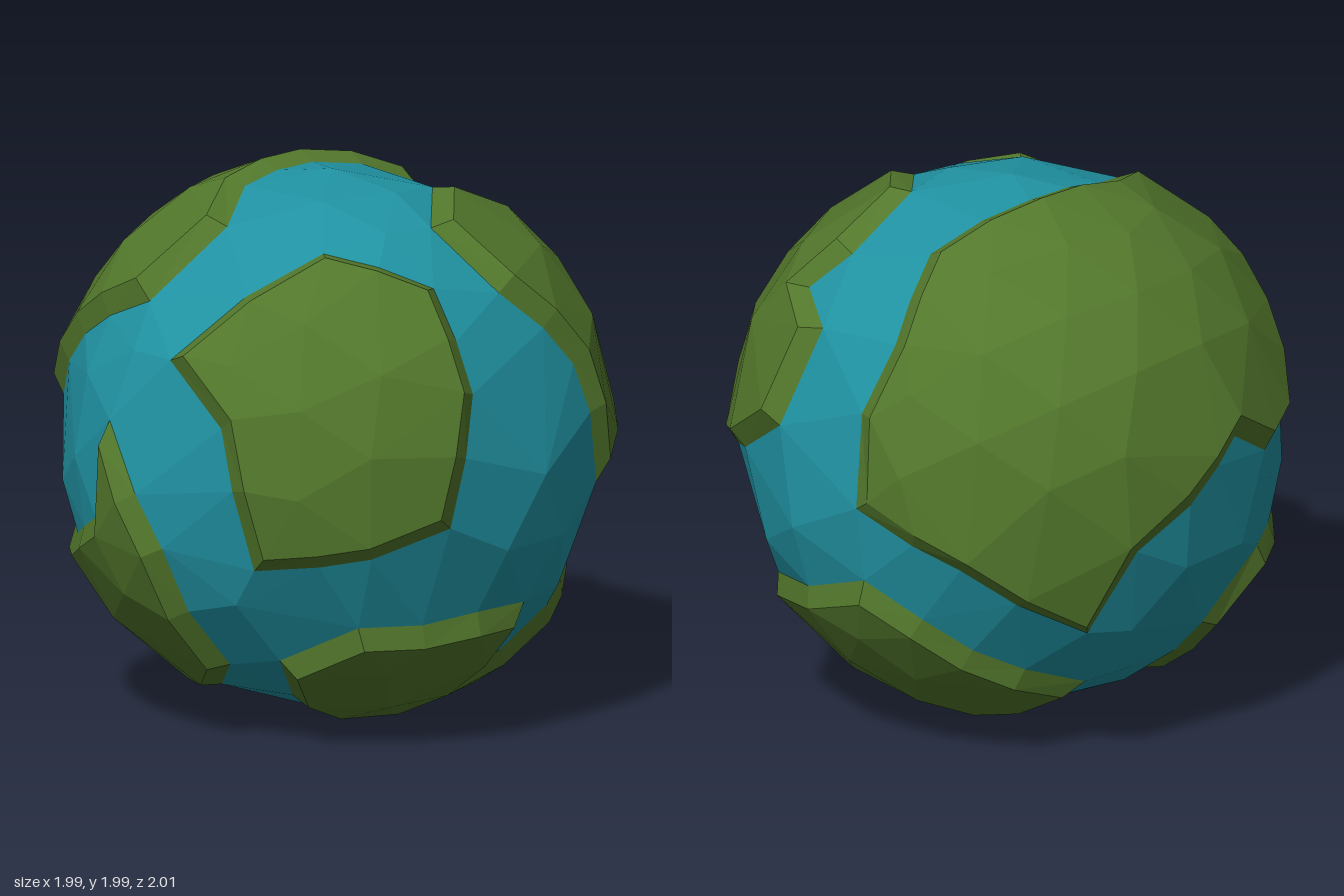
import * as THREE from 'three';
import { ConvexGeometry } from 'three/addons/geometries/ConvexGeometry.js';

const LAND_R = 1.03, SEA_R = 0.98, SHORE = 0.068;

// Coastline corners of each raised land plate, around the globe's centre
const LANDS = {
  frontRightLand: [
    [0.05, 0.47, 0.92], [0.39, 0.81, 0.53], [0.70, 0.70, 0.33], [0.90, 0.36, 0.37],
    [0.89, -0.09, 0.49], [0.73, -0.18, 0.70], [0.41, -0.23, 0.91], [0.30, 0.28, 0.96]],
  backLeftLand: [
    [-0.17, 0.88, 0.51], [-0.29, 0.95, 0.25], [-0.25, 0.99, -0.13], [-0.11, 0.87, -0.54],
    [-0.17, 0.61, -0.82], [-0.12, 0.36, -0.96], [-0.14, 0.05, -1.0], [-0.51, -0.13, -0.89],
    [-0.78, -0.41, -0.54], [-0.92, -0.10, -0.46], [-0.99, 0.05, -0.22], [-0.99, 0.27, 0.08],
    [-0.97, 0.14, 0.30], [-0.90, 0.18, 0.47], [-0.66, 0.47, 0.64], [-0.31, 0.67, 0.74]],
  frontLeftLand: [
    [-0.86, -0.42, 0.38], [-0.61, -0.40, 0.73], [-0.34, -0.25, 0.94], [-0.29, 0.10, 0.98],
    [-0.09, -0.28, 0.99], [0.0, -0.73, 0.72], [-0.18, -0.85, 0.53], [-0.50, -0.86, 0.24],
    [-0.78, -0.62, 0.20]],
  backRightLand: [
    [0.36, 0.92, -0.25], [0.54, 0.87, -0.02], [0.77, 0.69, -0.08], [0.89, 0.38, -0.36],
    [0.90, -0.04, -0.47], [0.66, 0.08, -0.79], [0.42, 0.25, -0.91], [0.34, 0.55, -0.80],
    [0.54, 0.62, -0.62], [0.38, 0.80, -0.53]],
  lowerBackLand: [
    [0.61, -0.60, 0.58], [0.84, -0.58, 0.20], [0.85, -0.58, 0.02], [0.53, -0.88, 0.0],
    [0.66, -0.67, -0.42], [0.50, -0.54, -0.72], [-0.07, -0.37, -0.96], [-0.24, -0.48, -0.88],
    [-0.48, -0.71, -0.58], [-0.53, -0.79, -0.37], [-0.10, -0.97, -0.34], [0.05, -1.0, -0.06],
    [0.20, -0.98, 0.20], [0.26, -0.88, 0.46], [0.35, -0.73, 0.64]],
};

// Evenly spread points on a sphere
function spherePoints(radius) {
  const grid = new THREE.IcosahedronGeometry(radius, 3).getAttribute('position');
  return Array.from({ length: grid.count }, (_, i) =>
    new THREE.Vector3().fromBufferAttribute(grid, i));
}

// Adds the points that keep their distance from all those already there
function fill(points, extra, gap) {
  for (const p of extra) if (points.every((q) => q.distanceTo(p) > gap)) points.push(p);
  return points;
}

// Splits long coast edges so the plate follows the globe
function refine(pts) {
  return pts.flatMap((p, i) => {
    const q = pts[(i + 1) % pts.length];
    const steps = Math.ceil(p.distanceTo(q) / 0.36);
    return Array.from({ length: steps }, (_, k) => p.clone().lerp(q, k / steps)
      .setLength(THREE.MathUtils.lerp(p.length(), q.length(), k / steps)));
  });
}

// Flat map of the globe around a centre direction
function makeMap(centre) {
  const c = centre.clone().normalize();
  const e1 = new THREE.Vector3(c.y, c.z, c.x).cross(c).normalize();
  const e2 = c.clone().cross(e1);
  return (p) => {
    const d = p.clone().normalize(), k = 1 / (1 + d.dot(c));
    return new THREE.Vector2(d.dot(e1) * k, d.dot(e2) * k);
  };
}

function inside(p, poly) {
  let hit = false;
  poly.forEach((a, i) => {
    const b = poly[(i + 1) % poly.length];
    if ((a.y > p.y) !== (b.y > p.y)
      && p.x < a.x + (b.x - a.x) * (p.y - a.y) / (b.y - a.y)) hit = !hit;
  });
  return hit;
}

// Shore foot: every coast corner moved outward by the same margin
function offsetCoast(edge) {
  const n = edge.length;
  const side = (a, b) => b.clone().sub(a).cross(a).normalize();
  return edge.map((p, i) => {
    const before = side(edge[(i + n - 1) % n], p), after = side(p, edge[(i + 1) % n]);
    const out = before.clone().add(after).normalize();
    const reach = SHORE * Math.min(1 / out.dot(after), 1.4);
    return p.clone().addScaledVector(out, reach).setLength(SEA_R);
  });
}

// Faceted plate top plus a sloping shore down to the sea
function buildLand(coast) {
  const corners = coast.map((a) => new THREE.Vector3(...a));
  const centre = corners.reduce((s, p) => s.add(p), new THREE.Vector3());
  const map = makeMap(centre);
  if (THREE.ShapeUtils.isClockWise(corners.map(map))) corners.reverse();
  const edge = refine(corners), outline = edge.map(map), base = offsetCoast(edge);

  const pos = [];
  const tri = (...pts) => pts.forEach((p) => pos.push(p.x, p.y, p.z));

  // Top: hull faces that look outward and lie within the coastline
  const inland = spherePoints(LAND_R).filter((p) => inside(map(p), outline));
  const hull = new ConvexGeometry(fill([...edge], inland, 0.17)).getAttribute('position');
  for (let i = 0; i < hull.count; i += 3) {
    const [a, b, c] = [0, 1, 2].map((k) =>
      new THREE.Vector3().fromBufferAttribute(hull, i + k));
    const mid = a.clone().add(b).add(c);
    const normal = b.clone().sub(a).cross(c.clone().sub(a));
    if (normal.dot(mid) > 0 && inside(map(mid), outline)) tri(a, b, c);
  }

  // Shore
  edge.forEach((p, i) => {
    const j = (i + 1) % edge.length;
    tri(base[i], base[j], edge[j]);
    tri(base[i], edge[j], p);
  });

  const geometry = new THREE.BufferGeometry();
  geometry.setAttribute('position', new THREE.Float32BufferAttribute(pos, 3));
  geometry.computeVertexNormals();
  return { geometry, base };
}

export function createModel() {
  const landMat = new THREE.MeshStandardMaterial({ color: 0x53782c, flatShading: true });
  landMat.name = 'land green';
  const seaMat = new THREE.MeshStandardMaterial({ color: 0x2092a2, flatShading: true });
  seaMat.name = 'sea blue';

  const model = new THREE.Group();
  model.name = 'lowPolyPlanet';
  const add = (name, geometry, material) => {
    const mesh = new THREE.Mesh(geometry, material);
    mesh.name = name;
    mesh.position.y = 1;
    model.add(mesh);
  };

  const shore = [];
  for (const [name, coast] of Object.entries(LANDS)) {
    const { geometry, base } = buildLand(coast);
    shore.push(...base);
    add(name, geometry, landMat);
  }

  // Sea: shore feet plus open-water points
  add('sea', new ConvexGeometry(fill(shore, spherePoints(SEA_R), 0.17)), seaMat);
  return model;
}
